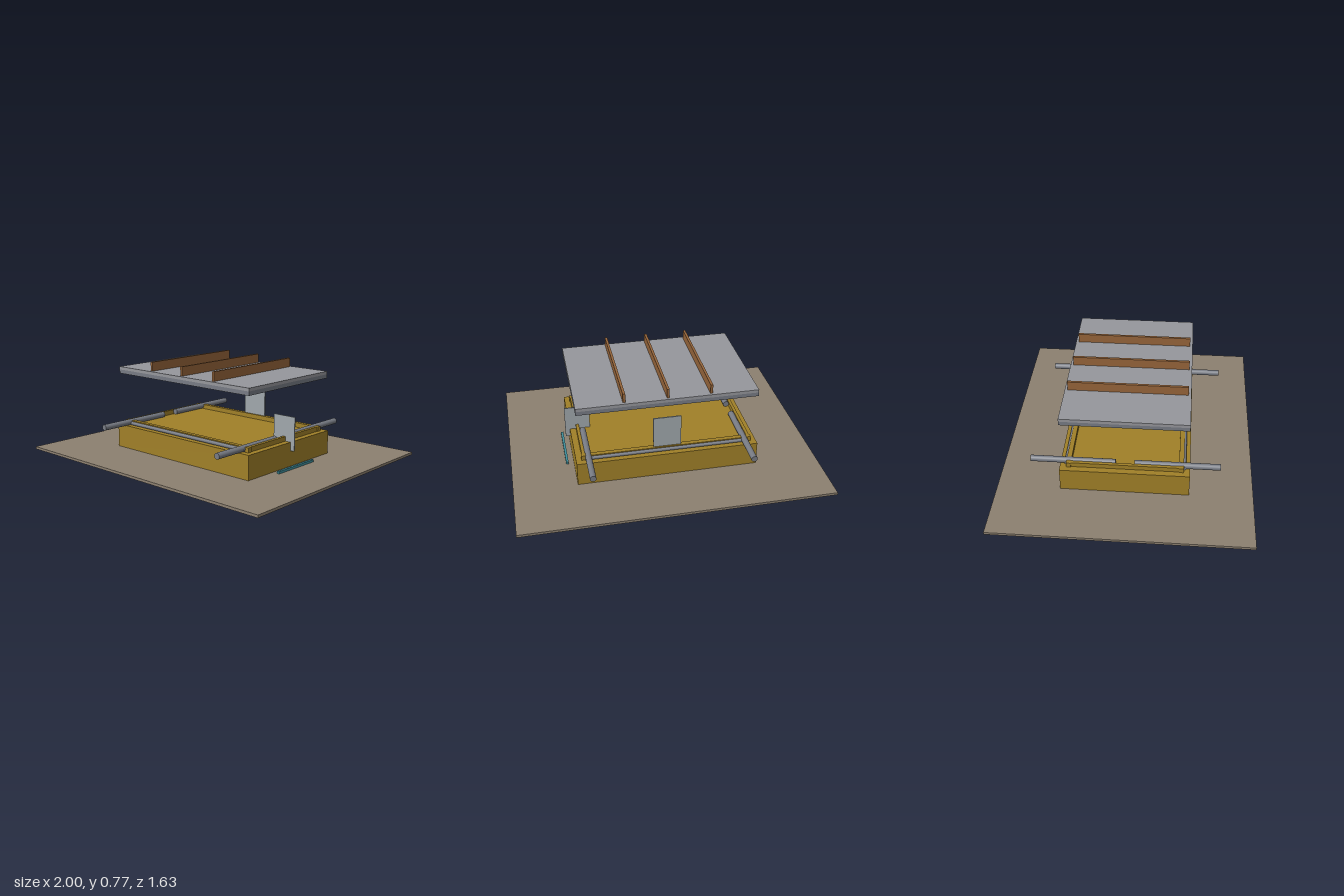
import * as THREE from 'three';

const mat = (color, extra = {}) => new THREE.MeshStandardMaterial({ color, ...extra });

export function createModel() {
  const root = new THREE.Group();
  const timber = mat(0xa08028), steel = mat(0x777b84), plate = mat(0x96979c);
  const earth = mat(0x8c8070), rust = mat(0x96653a), teal = mat(0x3f8f9c);
  const sheet = mat(0xa0a8ac, { side: THREE.DoubleSide });

  // Box given by its minimum and maximum corners
  const box = (name, material, [x0, y0, z0], [x1, y1, z1], parent = root) => {
    const m = new THREE.Mesh(new THREE.BoxGeometry(x1 - x0, y1 - y0, z1 - z0), material);
    m.position.set((x0 + x1) / 2, (y0 + y1) / 2, (z0 + z1) / 2);
    m.name = name;
    parent.add(m);
    return m;
  };
  const group = (name) => {
    const g = new THREE.Group();
    g.name = name;
    root.add(g);
    return g;
  };

  // Foundation: four beams that cross and overrun at the corners
  const foundation = group('foundation');
  for (const s of [-1, 1]) {
    const long = box('longBeam', timber, [-0.6, 0, 0.28], [0.6, 0.132, 0.38], foundation);
    long.position.z *= s;
    const cross = box('crossBeam', timber, [0.455, 0, -0.415], [0.56, 0.132, 0.415], foundation);
    cross.position.x *= s;
  }

  // Ground sheet and body block
  box('groundSheet', earth, [-1, 0.131, -0.815], [1, 0.148, 0.815]);
  box('body', timber, [-0.59, 0.148, -0.41], [0.59, 0.305, 0.41]);

  // Raised battens around the top of the body, with a thin rod along front and back
  const rim = group('rim');
  for (const s of [-1, 1]) {
    const long = box('longBatten', timber, [-0.555, 0.305, 0.34], [0.555, 0.336, 0.37], rim);
    long.position.z *= s;
    const side = box('sideBatten', timber, [0.53, 0.305, -0.34], [0.55, 0.336, 0.34], rim);
    side.position.x *= s;
    const rod = new THREE.Mesh(new THREE.CylinderGeometry(0.012, 0.012, 1.06, 16), steel);
    rod.rotation.z = Math.PI / 2;
    rod.position.set(0, 0.318, s * 0.372);
    rod.name = 'edgeRod';
    rim.add(rod);
  }

  // Carrying poles: two per side with a gap in the middle
  const poles = group('carryingPoles');
  for (const sx of [-1, 1]) for (const sz of [-1, 1]) {
    const pole = new THREE.Mesh(new THREE.CylinderGeometry(0.02, 0.02, 0.54, 24), steel);
    pole.rotation.x = Math.PI / 2;
    pole.position.set(sx * 0.51, 0.325, sz * 0.33);
    pole.name = 'pole';
    poles.add(pole);
  }

  // Upright thin panels at the back and on the left side
  box('backPanel', sheet, [-0.09, 0.335, -0.359], [0.09, 0.55, -0.351]);
  box('sidePanel', sheet, [0.455, 0.25, -0.003], [0.62, 0.47, 0.003]);

  // Small strip on the ground
  box('groundStrip', teal, [0.626, 0.148, -0.18], [0.642, 0.164, 0.18]);

  // Floating lid: two layers and three ribs
  const lid = group('lid');
  box('lowerLayer', steel, [-0.577, 0.66, -0.396], [0.577, 0.686, 0.396], lid);
  box('upperLayer', plate, [-0.577, 0.686, -0.396], [0.577, 0.706, 0.396], lid);
  for (const x of [-0.275, 0, 0.275])
    box('rib', rust, [x - 0.008, 0.706, -0.378], [x + 0.008, 0.766, 0.378], lid);

  return root;
}
